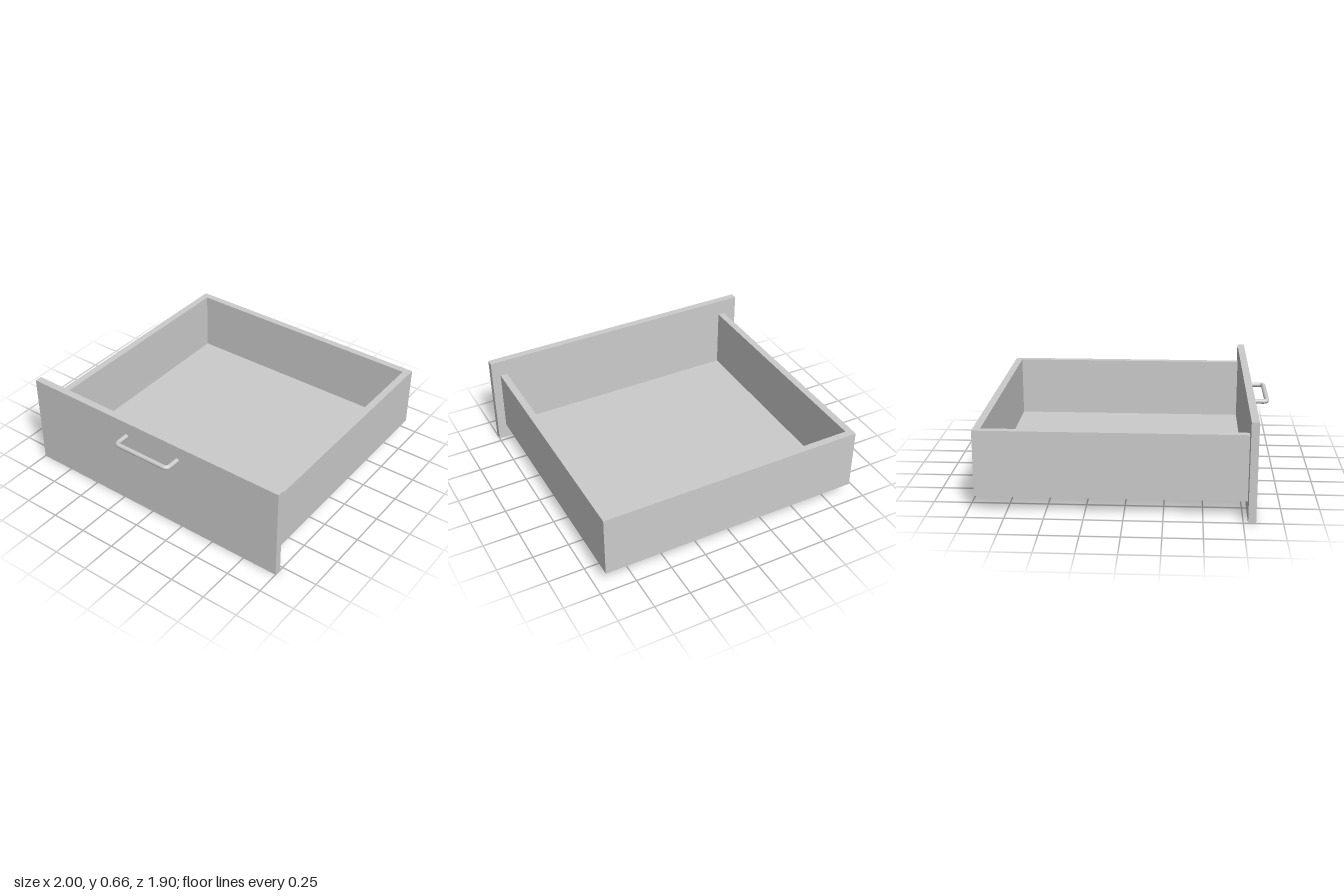
import * as THREE from 'three';

export function createModel() {
  const group = new THREE.Group();
  const material = new THREE.MeshStandardMaterial({ color: 0xcccccc });

  // Box given by its lower and upper limits on each axis
  function board(name, [x0, x1], [y0, y1], [z0, z1]) {
    const mesh = new THREE.Mesh(new THREE.BoxGeometry(x1 - x0, y1 - y0, z1 - z0), material);
    mesh.name = name;
    mesh.position.set((x0 + x1) / 2, (y0 + y1) / 2, (z0 + z1) / 2);
    group.add(mesh);
  }

  // The tray sits slightly off-centre behind the front panel
  const cx = 0.017, half = 0.921, wall = 0.049;
  const bottom = 0.107, top = 0.545, back = -0.952, front = 0.78;
  const floorTop = bottom + 0.01;

  board('frontPanel', [-1, 1], [0, 0.66], [front, 0.83]);
  board('floor', [cx - half, cx + half], [bottom, floorTop], [back, front]);
  board('leftSide', [cx + half - wall, cx + half], [floorTop, top], [back, front]);
  board('rightSide', [cx - half, cx - half + wall], [floorTop, top], [back, front]);
  board('backWall', [cx - half + wall, cx + half - wall], [floorTop, top], [back, back + wall]);

  // Round bar handle: two legs and a grip joined by small bends
  const r = 0.016, reach = 0.226 - r, bend = 0.03, zIn = 0.825, zOut = 0.948 - r;
  const p = (x, z) => new THREE.Vector3(x, 0, z);
  const path = new THREE.CurvePath();
  path.add(new THREE.LineCurve3(p(-reach, zIn), p(-reach, zOut - bend)));
  path.add(new THREE.QuadraticBezierCurve3(p(-reach, zOut - bend), p(-reach, zOut), p(-reach + bend, zOut)));
  path.add(new THREE.LineCurve3(p(-reach + bend, zOut), p(reach - bend, zOut)));
  path.add(new THREE.QuadraticBezierCurve3(p(reach - bend, zOut), p(reach, zOut), p(reach, zOut - bend)));
  path.add(new THREE.LineCurve3(p(reach, zOut - bend), p(reach, zIn)));
  const handle = new THREE.Mesh(new THREE.TubeGeometry(path, 120, r, 20, false), material);
  handle.name = 'handle';
  handle.position.set(cx, 0.552, 0);
  group.add(handle);

  return group;
}
